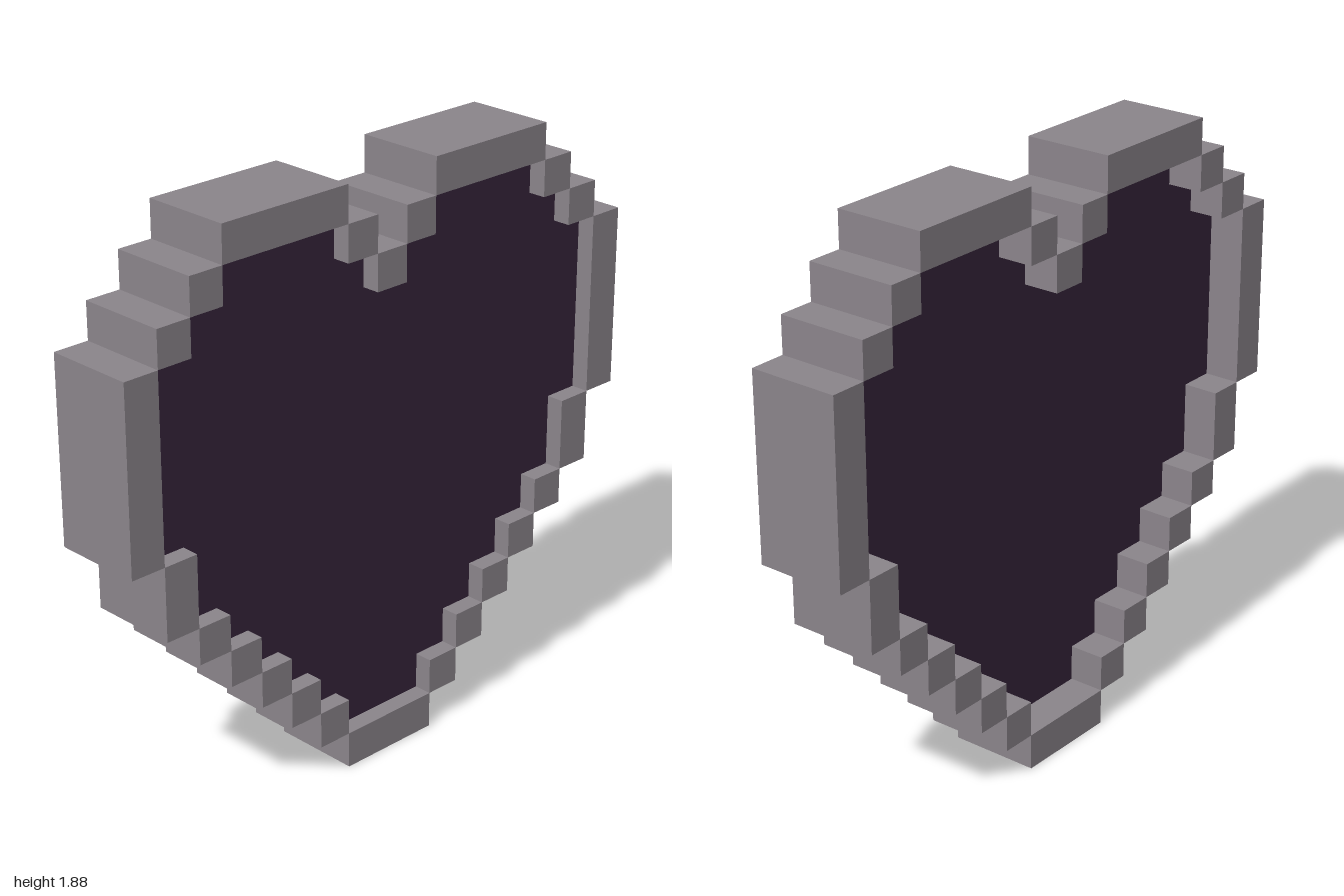
import * as THREE from 'three';

const U = 2 / 17; // one pixel block
const DEPTH = 2.5 * U;

export function createModel() {
  const model = new THREE.Group();
  model.name = 'pixelHeart';

  const rimMaterial = new THREE.MeshStandardMaterial({ color: 0x8b858b });
  rimMaterial.name = 'stone grey';
  const coreMaterial = new THREE.MeshStandardMaterial({ color: 0x36243b });
  coreMaterial.name = 'dark plum';

  // Rim: blocks given in pixels as centre column, bottom row, width, height
  const rim = new THREE.Group();
  rim.name = 'rim';
  const addBlock = (name, col, row, w, h) => {
    const block = new THREE.Mesh(new THREE.BoxGeometry(w * U, h * U, DEPTH), rimMaterial);
    block.name = name;
    block.position.set(col * U, (row + h / 2) * U, 0);
    rim.add(block);
  };
  addBlock('bottomTip', 0, 0, 3, 1);
  addBlock('topNotch', 0, 13, 1, 1);
  for (const [side, s] of [['left', 1], ['right', -1]]) {
    for (let i = 1; i <= 5; i++) addBlock(side + 'LowerStep' + i, s * (i + 1), i, 1, 1);
    addBlock(side + 'LowerSide', s * 7, 6, 1, 2);
    addBlock(side + 'Side', s * 8, 8, 1, 5);
    addBlock(side + 'ShoulderOuter', s * 7, 13, 1, 1);
    addBlock(side + 'ShoulderInner', s * 6, 14, 1, 1);
    addBlock(side + 'NotchStep', s, 14, 1, 1);
    addBlock(side + 'Top', s * 3.5, 15, 4, 1);
  }
  model.add(rim);

  // Core: stepped heart slab, recessed half a block in front and a full block behind
  const half = [
    [1.5, 1], [1.5, 2], [2.5, 2], [2.5, 3], [3.5, 3], [3.5, 4], [4.5, 4], [4.5, 5],
    [5.5, 5], [5.5, 6], [6.5, 6], [6.5, 8], [7.5, 8], [7.5, 13], [6.5, 13], [6.5, 14],
    [5.5, 14], [5.5, 15], [1.5, 15], [1.5, 14], [0.5, 14], [0.5, 13],
  ];
  const mirrored = half.map(([x, y]) => [-x, y]).reverse();
  const outline = [...half, ...mirrored].map(([x, y]) => new THREE.Vector2(x * U, y * U));
  const core = new THREE.Mesh(
    new THREE.ExtrudeGeometry(new THREE.Shape(outline), { depth: U, bevelEnabled: false }),
    coreMaterial
  );
  core.name = 'core';
  core.position.z = -DEPTH / 2 + U;
  model.add(core);

  return model;
}
